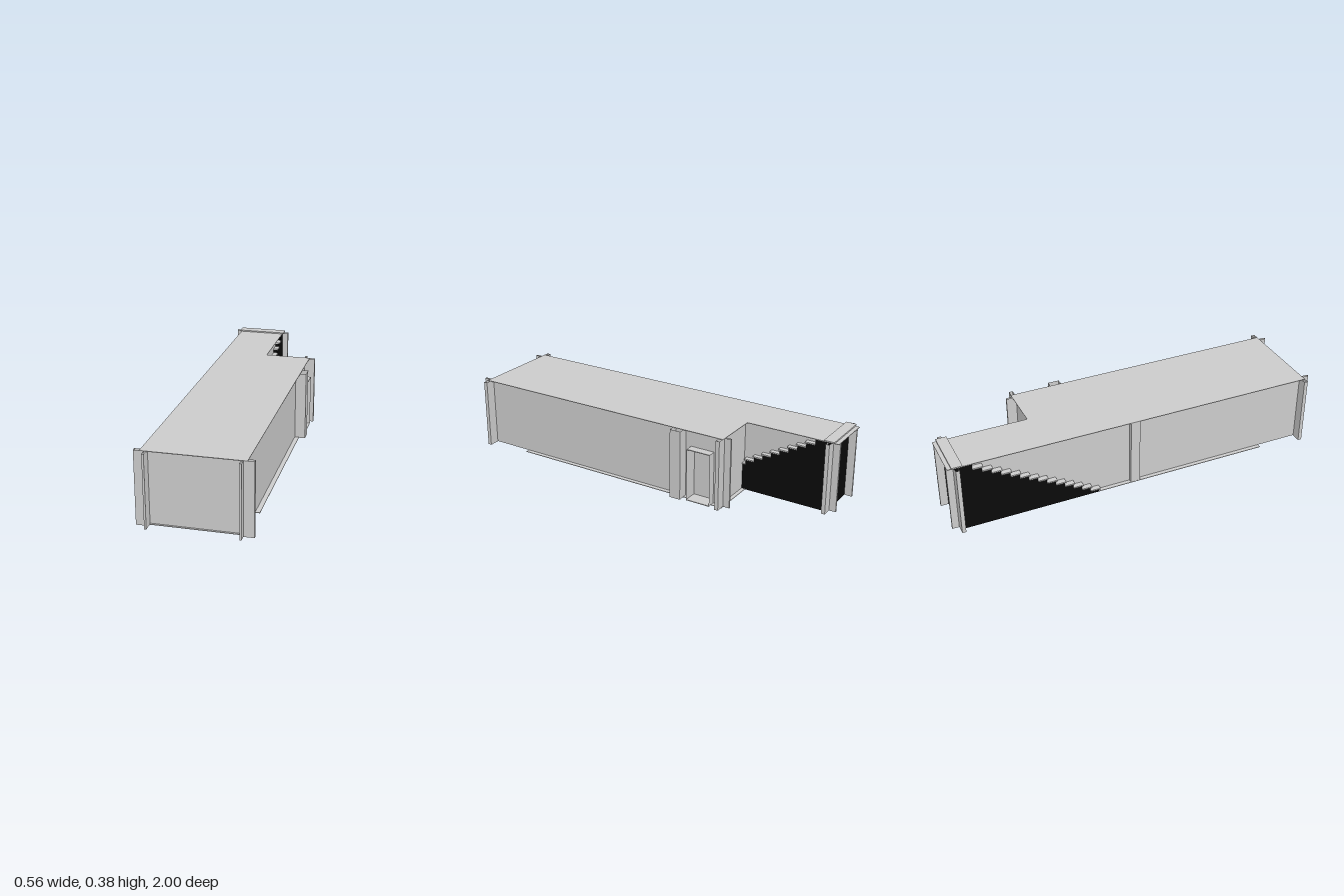
import * as THREE from 'three';

const H = 0.37;
const grey = new THREE.MeshStandardMaterial({ color: 0xcccccc, side: THREE.DoubleSide, flatShading: true });
const black = new THREE.MeshStandardMaterial({ color: 0x0a0a0a, side: THREE.DoubleSide, flatShading: true });

export function createModel() {
  const root = new THREE.Group();
  root.name = 'corridor';

  const add = (name, geometry, material = grey) => {
    const mesh = new THREE.Mesh(geometry, material);
    mesh.name = name;
    root.add(mesh);
    return mesh;
  };

  // Box given by its limits
  const box = (name, x0, x1, y0, y1, z0, z1, material) =>
    add(name, new THREE.BoxGeometry(x1 - x0, y1 - y0, z1 - z0), material)
      .position.set((x0 + x1) / 2, (y0 + y1) / 2, (z0 + z1) / 2);

  // Upright open sheet following a plan outline of [x, z] points
  const sheet = (name, plan, y0 = 0, y1 = H, closed = false) => {
    const pts = closed ? [...plan, plan[0]] : plan;
    const pos = [], idx = [];
    for (let i = 0; i + 1 < pts.length; i++) {
      const [a, b] = [pts[i], pts[i + 1]];
      pos.push(a[0], y0, a[1], b[0], y0, b[1], b[0], y1, b[1], a[0], y1, a[1]);
      const k = i * 4;
      idx.push(k, k + 1, k + 2, k, k + 2, k + 3);
    }
    const g = new THREE.BufferGeometry();
    g.setAttribute('position', new THREE.Float32BufferAttribute(pos, 3));
    g.setIndex(idx);
    g.computeVertexNormals();
    add(name, g);
  };

  // Flat slab with a plan outline of [x, z] points, bottom at y
  const slab = (name, plan, y, thickness) => {
    const shape = new THREE.Shape(plan.map(([x, z]) => new THREE.Vector2(x, -z)));
    const g = new THREE.ExtrudeGeometry(shape, { depth: thickness, bevelEnabled: false });
    g.rotateX(-Math.PI / 2);
    add(name, g).position.y = y;
  };

  // Ceiling over the hall and the narrow stairwell
  slab('ceiling', [[-0.25, 0.965], [0.245, 0.965], [0.245, -0.51], [0, -0.51], [0, -1], [-0.25, -1]], H - 0.003, 0.003);

  // Floor: main part, with a narrower strip at the front
  slab('floor', [[-0.25, 0.72], [0.245, 0.72], [0.245, -0.51], [0, -0.51], [0, -0.23], [-0.25, -0.23]], 0, 0.003);
  box('frontFloor', -0.225, 0.22, 0.002, 0.005, 0.72, 0.955);

  // Walls set back from the ceiling edge, open at the doorway
  const door = { z0: -0.45, z1: -0.32, top: 0.28 };
  const wallX = 0.222;
  sheet('walls', [[wallX, door.z0], [wallX, -0.49], [-0.02, -0.49], [-0.02, -0.95], [-0.228, -0.95],
    [-0.228, 0.945], [wallX, 0.945], [wallX, door.z1]], 0.002, H - 0.002);
  sheet('wallAboveDoor', [[wallX, door.z0], [wallX, door.z1]], door.top, H - 0.002);

  // Doorway: jambs, closed back, lintel and threshold
  sheet('doorRecess', [[0.265, door.z0], [0.19, door.z0], [0.19, door.z1], [0.265, door.z1]], 0, door.top);
  box('doorLintel', 0.19, 0.265, door.top - 0.004, door.top, door.z0, door.z1);
  box('doorThreshold', 0.19, 0.265, 0, 0.004, door.z0, door.z1);

  // Angle-shaped posts at the outer corners
  const angle = [[-0.03, -0.02], [-0.03, 0.035], [-0.02, 0.035], [-0.02, 0], [0.031, 0], [0.031, -0.02]];
  const corners = [
    [0.246, 0.965, 1, 1], [-0.247, 0.965, -1, 1], [0.246, -0.508, 1, -1],
    [0, -0.965, 1, -1], [-0.247, -0.965, -1, -1],
  ];
  for (const [cx, cz, sx, sz] of corners) {
    sheet('cornerPost', angle.map(([u, v]) => [cx + sx * u, cz + sz * v]), 0, H, true);
  }

  // Pilasters beside the door and on the opposite wall
  sheet('doorPilaster', [[wallX, -0.23], [0.278, -0.23], [0.278, -0.29], [wallX, -0.29]]);
  sheet('wallPilaster', [[-0.228, 0], [-0.249, 0], [-0.249, -0.05], [-0.228, -0.05]]);

  // Solid stair block rising towards the back
  const steps = 15, zStart = -0.23, zTop = -0.925, zBack = -0.96;
  const run = (zStart - zTop) / steps, rise = H / steps;
  const profile = new THREE.Shape();
  profile.moveTo(-zStart, 0);
  for (let i = 0; i < steps; i++) {
    profile.lineTo(-zStart + i * run, (i + 1) * rise - 0.003);
    profile.lineTo(-zStart + (i + 1) * run, (i + 1) * rise - 0.003);
  }
  profile.lineTo(-zBack, H - 0.003);
  profile.lineTo(-zBack, 0);
  const stairs = new THREE.ExtrudeGeometry(profile, { depth: 0.249, bevelEnabled: false });
  stairs.rotateY(Math.PI / 2);
  add('stairs', stairs, black).position.x = -0.2495;

  // Treads slightly wider than the block
  for (let i = 0; i < steps - 1; i++) {
    const y = (i + 1) * rise, z = zStart - i * run;
    box('tread', -0.257, 0.006, y - 0.007, y, z - run, z + 0.006);
  }
  box('topTread', -0.257, 0.008, H + 0.001, H + 0.008, -0.98, -0.925);

  return root;
}
